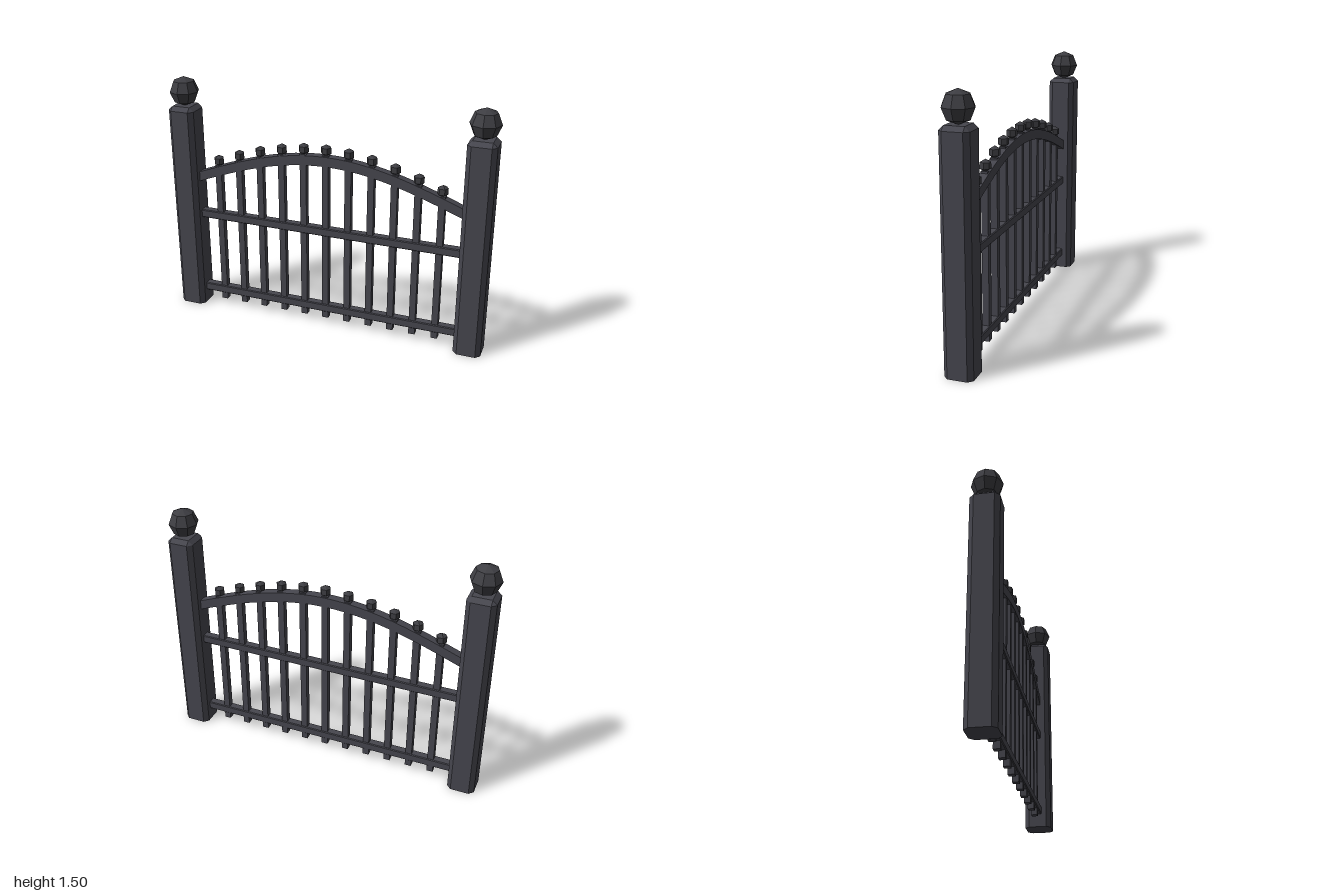
import * as THREE from 'three';

const iron = new THREE.MeshStandardMaterial({ color: 0x46464e });
iron.name = 'dark iron';
iron.flatShading = true;
const finialIron = new THREE.MeshStandardMaterial({ color: 0x3e3e43 });
finialIron.name = 'finial iron';
finialIron.flatShading = true;

const POST_X = 0.91, SPAN = 0.83;

// centre line of the arched top rail
const archY = x => 0.882 + 0.203 * Math.cos((Math.PI * x) / (2 * SPAN));

function add(parent, name, geometry, material, x = 0, y = 0, z = 0) {
  const mesh = new THREE.Mesh(geometry, material);
  mesh.name = name;
  mesh.position.set(x, y, z);
  parent.add(mesh);
  return mesh;
}

// square bar with chamfered long edges, running along +z from 0
function chamferBar(half, chamfer, length) {
  const a = half, b = half - chamfer;
  const outline = [[a, -b], [a, b], [b, a], [-b, a], [-a, b], [-a, -b], [-b, -a], [b, -a]];
  const shape = new THREE.Shape(outline.map(p => new THREE.Vector2(...p)));
  return new THREE.ExtrudeGeometry(shape, { depth: length, bevelEnabled: false });
}

function createPost(side) {
  const post = new THREE.Group();
  post.name = side > 0 ? 'leftPost' : 'rightPost';
  post.position.x = side * POST_X;
  add(post, 'postShaft', chamferBar(0.083, 0.027, 1.305).rotateX(-Math.PI / 2), iron);

  // cap tapers from the octagon to a smaller square
  const cap = chamferBar(0.083, 0.027, 0.025).rotateX(-Math.PI / 2);
  const p = cap.attributes.position;
  const clamp = v => THREE.MathUtils.clamp(v, -0.056, 0.056);
  for (let i = 0; i < p.count; i++) {
    if (p.getY(i) > 0.02) p.setXYZ(i, clamp(p.getX(i)), p.getY(i), clamp(p.getZ(i)));
  }
  cap.computeVertexNormals();
  add(post, 'postCap', cap, iron, 0, 1.305);

  add(post, 'postBall', new THREE.SphereGeometry(0.09, 8, 4), finialIron, 0, 1.415);
  return post;
}

function createArch() {
  const n = 24, t = 0.03, upper = [], lower = [];
  for (let i = 0; i <= n; i++) {
    const x = -SPAN + (2 * SPAN * i) / n;
    lower.push(new THREE.Vector2(x, archY(x) - t));
    upper.unshift(new THREE.Vector2(x, archY(x) + t));
  }
  const shape = new THREE.Shape([...lower, ...upper]);
  return new THREE.ExtrudeGeometry(shape, { depth: 0.052, bevelEnabled: false }).translate(0, 0, -0.026);
}

export function createModel() {
  const gate = new THREE.Group();
  gate.name = 'gate';

  for (const side of [-1, 1]) gate.add(createPost(side));

  // rails
  add(gate, 'archedRail', createArch(), iron);
  for (const [name, y] of [['lowerRail', 0.109], ['middleRail', 0.632]]) {
    const rail = chamferBar(0.026, 0.005, 2 * SPAN).translate(0, 0, -SPAN).rotateY(Math.PI / 2);
    add(gate, name, rail, iron, 0, y);
  }

  // upright bars, each passing through the arch to a small knob
  for (let i = -5; i <= 5; i++) {
    const x = i * 0.14, top = archY(x) + 0.035, bottom = 0.04;
    add(gate, 'bar', new THREE.BoxGeometry(0.039, top - bottom, 0.039), iron, x, (top + bottom) / 2);
    add(gate, 'barKnob', new THREE.SphereGeometry(0.036, 6, 3), finialIron, x, archY(x) + 0.065);
  }
  return gate;
}
